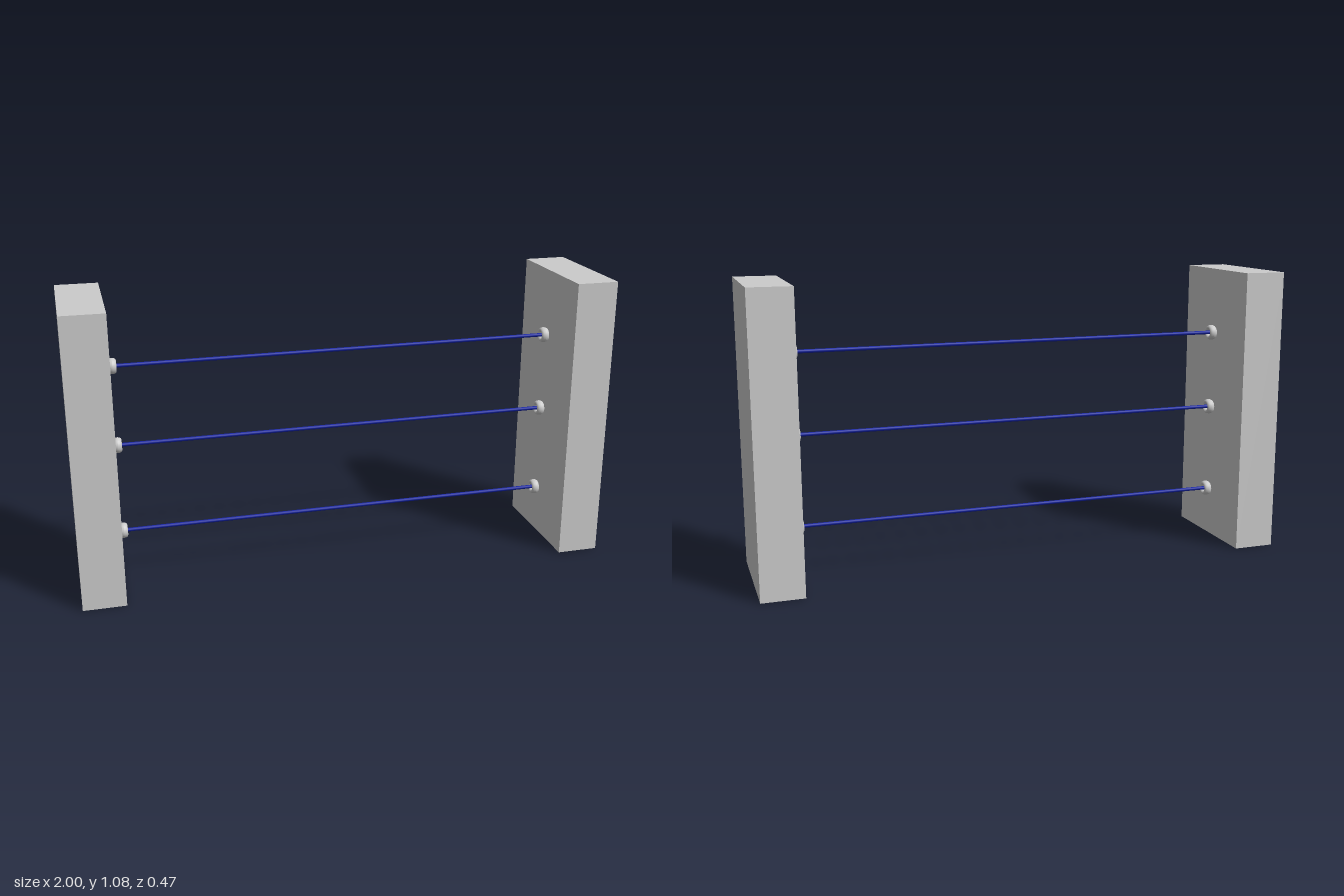
import * as THREE from 'three';

export function createModel() {
  const model = new THREE.Group();
  const grey = new THREE.MeshStandardMaterial({ color: 0xcccccc });
  const blue = new THREE.MeshStandardMaterial({ color: 0x1020a0 });

  const add = (name, geometry, material, x, y) => {
    const mesh = new THREE.Mesh(geometry, material);
    mesh.name = name;
    mesh.position.set(x, y, 0);
    model.add(mesh);
    return mesh;
  };

  const height = 1.08, inner = 0.843, ropeHeights = [0.19, 0.53, 0.83];

  // Rounded eyelet section (radius, axial), closed around a central hole
  const section = [];
  for (let i = 0; i <= 16; i++) {
    const a = (i / 16) * Math.PI * 2;
    section.push(new THREE.Vector2(0.0205 + 0.0085 * Math.cos(a), 0.015 * Math.sin(a)));
  }
  const eyelet = new THREE.LatheGeometry(section, 24).rotateZ(Math.PI / 2);
  const post = new THREE.BoxGeometry(1 - inner, height, 0.466);
  const rope = new THREE.CylinderGeometry(0.007, 0.007, inner * 2, 12).rotateZ(Math.PI / 2);

  // Two end posts with an eyelet for every rope
  for (const [side, label] of [[1, 'left'], [-1, 'right']]) {
    add(label + 'Post', post, grey, side * (1 + inner) / 2, height / 2);
    ropeHeights.forEach((y, i) => add(label + 'Eyelet' + (i + 1), eyelet, grey, side * (inner - 0.017), y));
  }

  // Ropes stretched between the posts
  ropeHeights.forEach((y, i) => add('rope' + (i + 1), rope, blue, 0, y));

  return model;
}
